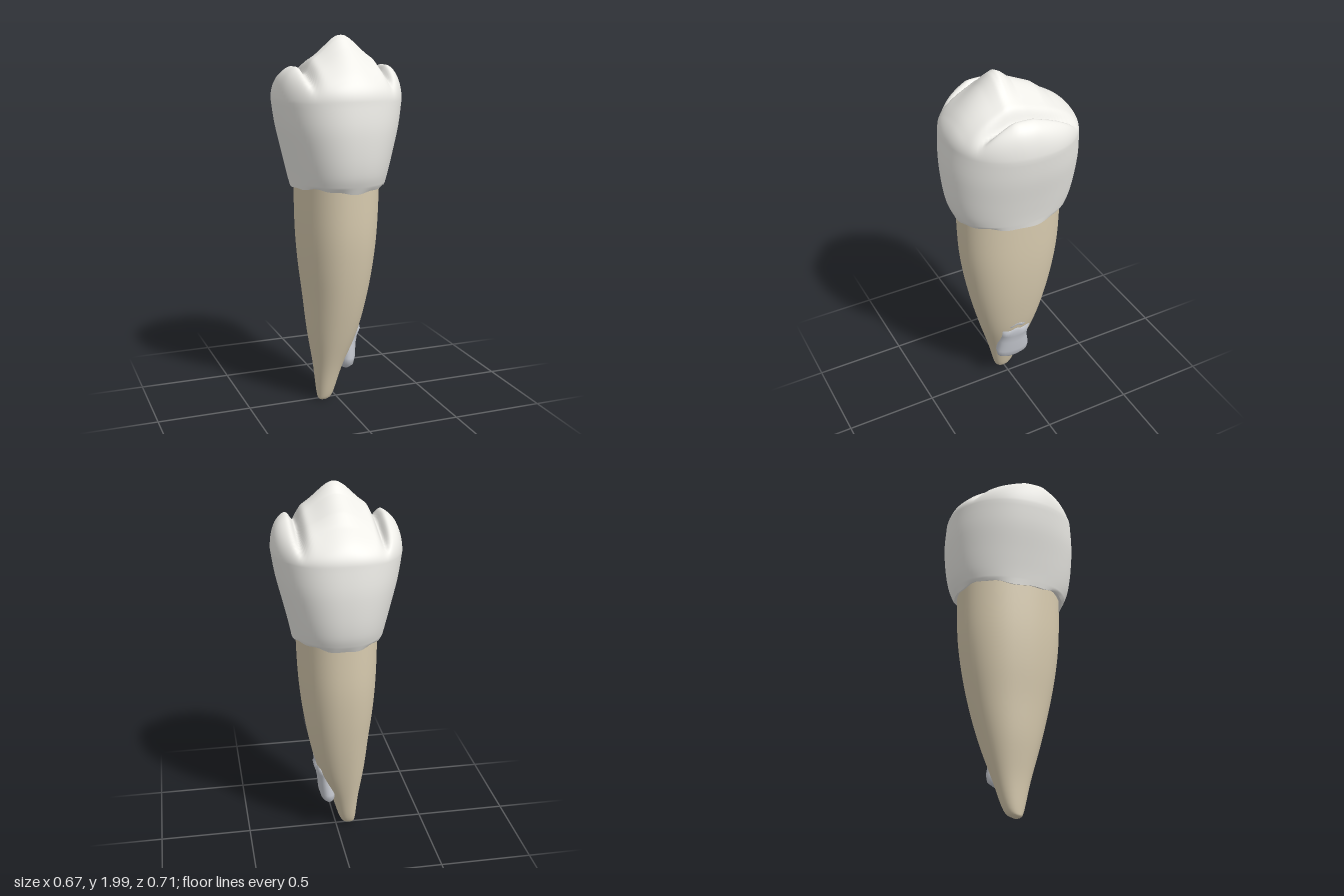
import * as THREE from 'three';

// Skin a list of rings; ring(a) gives [x, y, z] at angle a, rings run from bottom to top
function loft(rings, segs) {
  const pos = [], idx = [];
  for (const ring of rings)
    for (let j = 0; j < segs; j++) pos.push(...ring((j / segs) * Math.PI * 2));
  for (let i = 0; i < rings.length - 1; i++)
    for (let j = 0; j < segs; j++) {
      const k = (j + 1) % segs, a = i * segs + j, b = i * segs + k;
      idx.push(a, a + segs, b, b, a + segs, b + segs);
    }
  const geo = new THREE.BufferGeometry();
  geo.setAttribute('position', new THREE.Float32BufferAttribute(pos, 3));
  geo.setIndex(idx);
  geo.computeVertexNormals();
  return geo;
}

// Slightly squared ellipse
const POWER = 2.2;
const squared = (v) => Math.sign(v) * Math.pow(Math.abs(v), 2 / POWER);
const oval = (a, rx, rz) => [rx * squared(Math.cos(a)), rz * squared(Math.sin(a))];
const section = ([y, cx, rx, rz, cz = 0]) => (a) => {
  const [x, z] = oval(a, rx, rz);
  return [cx + x, y, cz + z];
};

// Smooth lookup through [input, output] pairs
function lookup(table, v) {
  if (v <= table[0][0]) return table[0][1];
  for (let i = 1; i < table.length; i++) {
    const [x0, y0] = table[i - 1], [x1, y1] = table[i];
    if (v <= x1) return y0 + (y1 - y0) * ((v - x0) / (x1 - x0));
  }
  return table[table.length - 1][1];
}

// Extra rows between the given ones
function refine(rows, steps) {
  const out = [];
  for (let i = 0; i < rows.length - 1; i++) {
    const at = (k) => rows[Math.min(Math.max(k, 0), rows.length - 1)];
    for (let s = 0; s < steps; s++) {
      const t = s / steps;
      out.push(rows[i].map((p1, c) => {
        const p0 = at(i - 1)[c], p2 = at(i + 1)[c], p3 = at(i + 2)[c];
        return p1 + 0.5 * t * (p2 - p0 + t * (2 * p0 - 5 * p1 + 4 * p2 - p3 + t * (3 * (p1 - p2) + p3 - p0)));
      }));
    }
  }
  out.push(rows[rows.length - 1]);
  return out;
}

// Chewing surface: central ridge, side rims and the grooves between them
const ridge = [[-0.35, 1.76], [-0.3, 1.785], [-0.2, 1.835], [-0.13, 1.89], [0, 1.95], [0.04, 1.985],
  [0.07, 2.0], [0.1, 1.985], [0.15, 1.935], [0.25, 1.85], [0.3, 1.81], [0.35, 1.78]];
const rim = [[-0.3, 1.75], [-0.2, 1.79], [0, 1.85], [0.1, 1.855], [0.2, 1.82], [0.3, 1.78]];
const bell = (v, width) => Math.exp(-((v / width) ** 2));
const WIDE = 0.335, DEEP = 0.347, SHOULDER = 1.67;

function chewingHeight(x, z, s) {
  const side = lookup(rim, z);
  const groove = 0.06 * bell(Math.abs(x) - 0.207, 0.024) * Math.max(0, 1 - (z / 0.31) ** 4);
  const h = side + (lookup(ridge, z) - side) * bell(x, 0.13) - groove;
  return SHOULDER + (h - SHOULDER) * Math.sqrt(Math.max(0, 1 - s ** 8));
}

function crownGeometry() {
  const wave = (a) => 0.009 * (1 - Math.cos(4 * a)) + 0.004 * Math.sin(11 * a);
  const margin = (y, rx, rz) => (a) => {
    const [x, z] = oval(a, rx, rz);
    return [x, y + wave(a), z];
  };
  // Underside lip, doubled ring for a crisp edge
  const rings = [margin(1.235, 0.19, 0.255), margin(1.212, 0.238, 0.298), margin(1.212, 0.238, 0.298)];
  // Flared side wall
  const wall = refine([[1.24, 0, 0.243, 0.312], [1.3, 0, 0.256, 0.334], [1.4, 0, 0.28, 0.35],
    [1.54, 0, 0.314, 0.357], [SHOULDER, 0, WIDE, DEEP]], 4);
  wall.forEach((row) => rings.push(section(row)));
  // Chewing surface, closer rings near the shoulder
  const N = 48;
  for (let i = 1; i <= N; i++) {
    const t = i / N;
    const s = t < 0.2 ? 1 - 2.5 * t * t : 0.9 * (1 - (t - 0.2) / 0.8);
    rings.push((a) => {
      const [x, z] = oval(a, WIDE * s, DEEP * s);
      return [x, chewingHeight(x, z, s), z];
    });
  }
  return loft(rings, 96);
}

function rootGeometry() {
  // y, centre x, half width, half depth, centre z; the tip leans to -x
  const rows = [[0.004, -0.08, 0.001, 0.001, 0.015], [0.008, -0.08, 0.025, 0.022, 0.015],
    [0.045, -0.068, 0.045, 0.052, 0.005], [0.2, -0.05, 0.077, 0.098, 0], [0.4, -0.025, 0.132, 0.16, 0],
    [0.6, -0.011, 0.166, 0.213, 0], [0.8, -0.006, 0.193, 0.253, 0], [1.0, -0.003, 0.208, 0.277, 0],
    [1.26, 0, 0.214, 0.284, 0]];
  return loft(refine(rows, 5).map(section), 48);
}

function depositGeometry() {
  // Ragged lump clinging to the lower root
  const rows = [[0.18, 0.04, 0.001, 0.001], [0.186, 0.045, 0.025, 0.06], [0.21, 0.05, 0.038, 0.093],
    [0.25, 0.05, 0.05, 0.1], [0.32, 0.056, 0.05, 0.086], [0.37, 0.068, 0.047, 0.084],
    [0.415, 0.088, 0.042, 0.088], [0.43, 0.085, 0.028, 0.05], [0.445, 0.092, 0.025, 0.048],
    [0.46, 0.1, 0.028, 0.065], [0.478, 0.113, 0.016, 0.035], [0.48, 0.115, 0.001, 0.001]];
  const rings = rows.map((row, i) => (a) => {
    const [x, y, z] = section(row)(a);
    return [x, y + (i > 5 && i < 11 ? 0.007 * Math.sin(5 * a + 1) : 0), z];
  });
  return loft(rings, 28);
}

export function createModel() {
  const tooth = new THREE.Group();
  tooth.name = 'tooth';
  const add = (name, geometry, color) => {
    const mesh = new THREE.Mesh(geometry, new THREE.MeshStandardMaterial({ color }));
    mesh.name = name;
    tooth.add(mesh);
  };
  add('crown', crownGeometry(), 0xeeede8);
  add('root', rootGeometry(), 0xd9ccb0);
  add('rootDeposit', depositGeometry(), 0xc6c9d0);
  return tooth;
}
